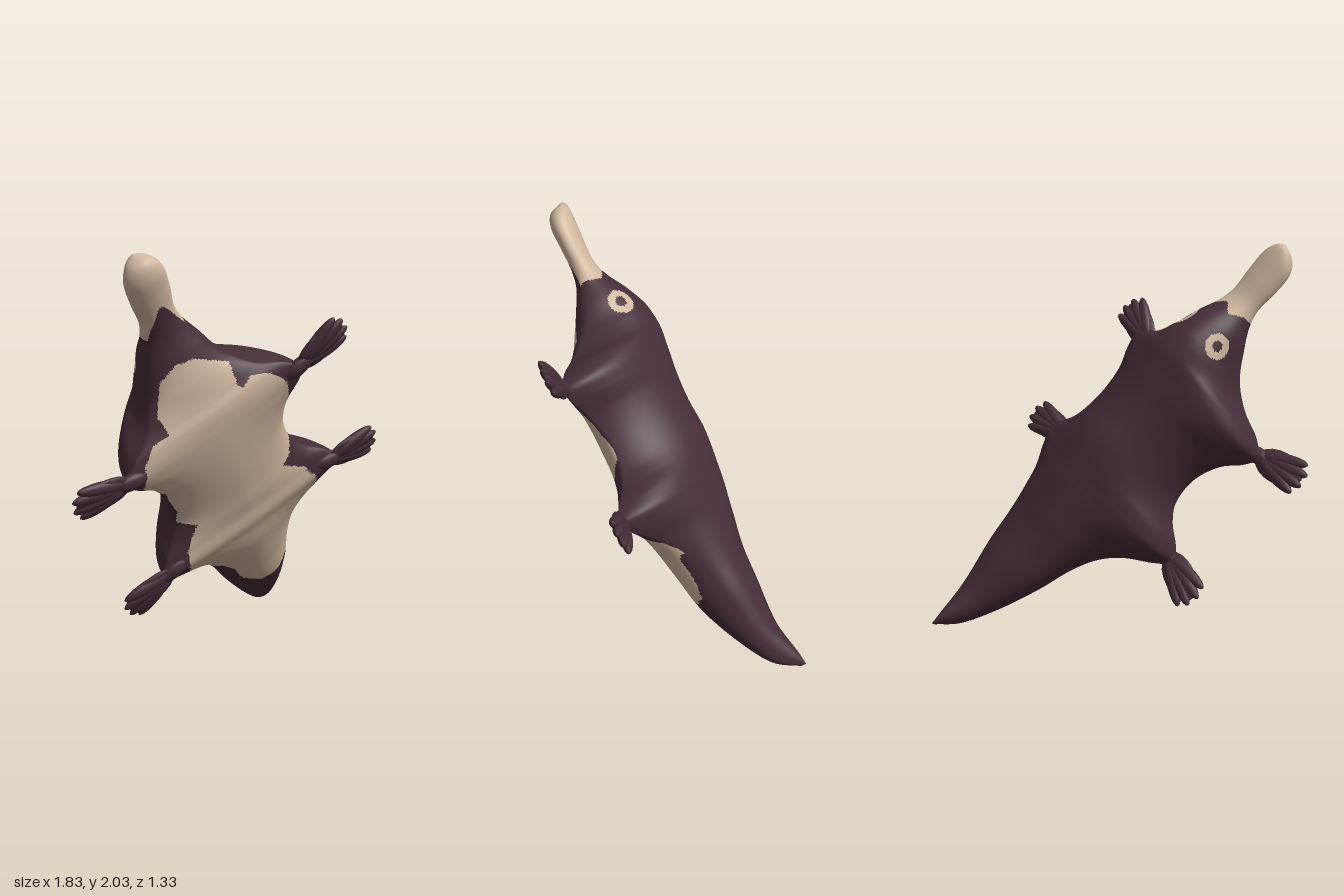
import * as THREE from 'three';

const fur = new THREE.MeshStandardMaterial({ color: 0x452d37 });
fur.name = 'dark fur';
const cream = new THREE.MeshStandardMaterial({ color: 0xcfb69e });
cream.name = 'cream';

// Body frame: local x = left side, local y = belly direction, local z = towards the tail
const forward = new THREE.Vector3(-0.507, 0.733, 0.452).normalize();
const side = new THREE.Vector3(0.833, 0.538, 0.125);
side.addScaledVector(forward, -side.dot(forward)).normalize();
const belly = side.clone().cross(forward);
const frame = new THREE.Matrix4()
  .makeBasis(side, belly, forward.clone().negate())
  .setPosition(0, 1, 0);

// Cross-sections from bill tip to tail tip: station, half width, flank height, back, belly
const sections = [
  [1.36, 0.001, -0.03, -0.03, -0.03], [1.33, 0.06, 0, -0.05, 0.05],
  [1.27, 0.1, 0.02, -0.05, 0.08], [1.15, 0.105, 0.03, -0.04, 0.085],
  [1.02, 0.095, 0.03, -0.035, 0.09], [0.93, 0.115, 0.04, -0.06, 0.11],
  [0.82, 0.165, 0.07, -0.12, 0.17], [0.7, 0.22, 0.14, -0.17, 0.24],
  [0.6, 0.32, 0.24, -0.185, 0.29], [0.54, 0.45, 0.3, -0.185, 0.33],
  [0.47, 0.52, 0.33, -0.175, 0.35], [0.4, 0.49, 0.32, -0.165, 0.36],
  [0.3, 0.41, 0.29, -0.15, 0.37], [0.15, 0.365, 0.26, -0.14, 0.38],
  [0, 0.38, 0.27, -0.145, 0.385], [-0.08, 0.43, 0.3, -0.14, 0.39],
  [-0.16, 0.52, 0.35, -0.13, 0.39], [-0.23, 0.56, 0.38, -0.12, 0.4],
  [-0.3, 0.5, 0.35, -0.11, 0.39], [-0.4, 0.38, 0.27, -0.09, 0.385],
  [-0.5, 0.31, 0.2, -0.07, 0.37], [-0.65, 0.25, 0.15, -0.04, 0.345],
  [-0.85, 0.2, 0.12, -0.025, 0.31], [-1.1, 0.12, 0.1, -0.01, 0.21],
  [-1.28, 0.05, 0.05, -0.04, 0.1], [-1.36, 0.001, -0.03, -0.05, -0.02],
];

// Wavy edge of the belly patch, seen along z
const patch = [
  [-0.49, 1.25], [-0.48, 1.42], [-0.42, 1.5], [-0.33, 1.53], [-0.13, 1.51], [-0.1, 1.4],
  [-0.07, 1.38], [-0.03, 1.44], [0.07, 1.45], [0.17, 1.4], [0.22, 1.32], [0.25, 1.2],
  [0.33, 1.1], [0.33, 1.0], [0.29, 0.94], [0.43, 0.92], [0.54, 0.84], [0.56, 0.74],
  [0.54, 0.62], [0.58, 0.4], [0.52, 0.28], [0.42, 0.23], [0.3, 0.25], [0.2, 0.33],
  [0.12, 0.36], [0, 0.32], [-0.12, 0.36], [-0.18, 0.44], [-0.2, 0.52], [-0.17, 0.66],
  [-0.27, 0.68], [-0.28, 0.74], [-0.38, 0.85], [-0.53, 0.88], [-0.56, 1.02], [-0.52, 1.12],
  [-0.44, 1.17],
];

function insidePatch(x, y) {
  let inside = false;
  patch.forEach(([ax, ay], i) => {
    const [bx, by] = patch[(i + 1) % patch.length];
    if (ay > y !== by > y && x < ax + ((y - ay) * (bx - ax)) / (by - ay)) inside = !inside;
  });
  return inside;
}

// Rule that says which spots of the skin are cream
function isCream(local, world, normal) {
  const s = -local.z;
  const onBelly = local.y > 0.035;
  if (s > 0.85) {
    const tongue = onBelly ? 0.15 * Math.max(0, 1 - ((local.x - 0.015) / 0.1) ** 2) : 0;
    return s > 0.93 + tongue + 0.018 * Math.sin(local.x * 50);
  }
  // Eye rings
  const eye = Math.hypot(Math.abs(local.x) - 0.15, s - 0.76, local.y + 0.09);
  if (eye < 0.072 && eye > 0.036) return true;
  return normal.z > 0 && insidePatch(world.x, world.y);
}

function bodyGeometry() {
  const rows = 260, around = 144;
  const outline = new THREE.CatmullRomCurve3(sections.map(([s, b, e]) => new THREE.Vector3(s, b, e)));
  const heights = new THREE.CatmullRomCurve3(sections.map(([s, , , t, u]) => new THREE.Vector3(s, t, u)));
  const points = [];
  for (let i = 0; i <= rows; i++) {
    const { x: s, y: width, z: flank } = outline.getPoint(i / rows);
    const { y: back, z: under } = heights.getPoint(i / rows);
    // Wide sections at the limbs get a tent shape
    const tent = 1 + 0.5 * THREE.MathUtils.clamp((width - 0.25) / 0.3, 0, 1);
    const bend = 0.04 * Math.max(0, s - 0.7);
    for (let j = 0; j < around; j++) {
      const a = (j / around) * Math.PI * 2;
      const c = Math.cos(a), h = Math.sin(a);
      const x = Math.max(0.001, width) * Math.sign(c) * Math.abs(c) ** tent + bend;
      const y = flank + (h > 0 ? under - flank : flank - back) * h;
      points.push(new THREE.Vector3(x, y, -s));
    }
  }
  const world = points.map((p) => p.clone().applyMatrix4(frame));
  const faces = [[], []];
  const centre = (list, ids) => ids.reduce((v, id) => v.add(list[id]), new THREE.Vector3()).divideScalar(3);
  const normal = new THREE.Vector3();
  for (let i = 0; i < rows; i++) {
    for (let j = 0; j < around; j++) {
      const a = i * around + j, b = i * around + ((j + 1) % around);
      for (const ids of [[a, b, a + around], [b, b + around, a + around]]) {
        THREE.Triangle.getNormal(world[ids[0]], world[ids[1]], world[ids[2]], normal);
        const light = isCream(centre(points, ids), centre(world, ids), normal);
        faces[light ? 1 : 0].push(...ids);
      }
    }
  }
  const geometry = new THREE.BufferGeometry().setFromPoints(world);
  geometry.setIndex([...faces[0], ...faces[1]]);
  geometry.addGroup(0, faces[0].length, 0);
  geometry.addGroup(faces[0].length, faces[1].length, 1);
  geometry.computeVertexNormals();
  return geometry;
}

// Webbed foot: a palm and a fan of flat toes, pointing along +x from the ankle
function makeFoot(name) {
  const foot = new THREE.Group();
  foot.name = name;
  const ball = new THREE.SphereGeometry(1, 20, 14);
  const add = (part, length, thick, width, reach, angle) => {
    const mesh = new THREE.Mesh(ball, fur);
    mesh.name = part;
    mesh.scale.set(length, thick, width);
    mesh.position.set(reach * Math.cos(angle), 0, -reach * Math.sin(angle));
    mesh.rotation.y = angle;
    foot.add(mesh);
  };
  add('palm', 0.15, 0.026, 0.085, 0.15, 0);
  add('ankle', 0.09, 0.035, 0.045, 0, 0);
  [-0.28, -0.1, 0.1, 0.28].forEach((angle, i) =>
    add('toe', 0.15, 0.03, 0.036, i === 0 || i === 3 ? 0.15 : 0.17, angle));
  return foot;
}

export function createModel() {
  const model = new THREE.Group();
  model.name = 'platypus';
  const body = new THREE.Mesh(bodyGeometry(), [fur, cream]);
  body.name = 'body';
  model.add(body);

  const feet = new THREE.Group();
  feet.name = 'feet';
  feet.applyMatrix4(frame);
  model.add(feet);
  for (const left of [true, false]) {
    for (const front of [true, false]) {
      const foot = makeFoot((front ? 'front' : 'back') + (left ? 'Left' : 'Right') + 'Foot');
      const turn = front ? 0.25 : -0.2;
      foot.position.set(left ? 0.5 : -0.5, front ? 0.325 : 0.365, front ? -0.48 : 0.22);
      foot.rotation.y = left ? turn : Math.PI - turn;
      feet.add(foot);
    }
  }
  return model;
}
